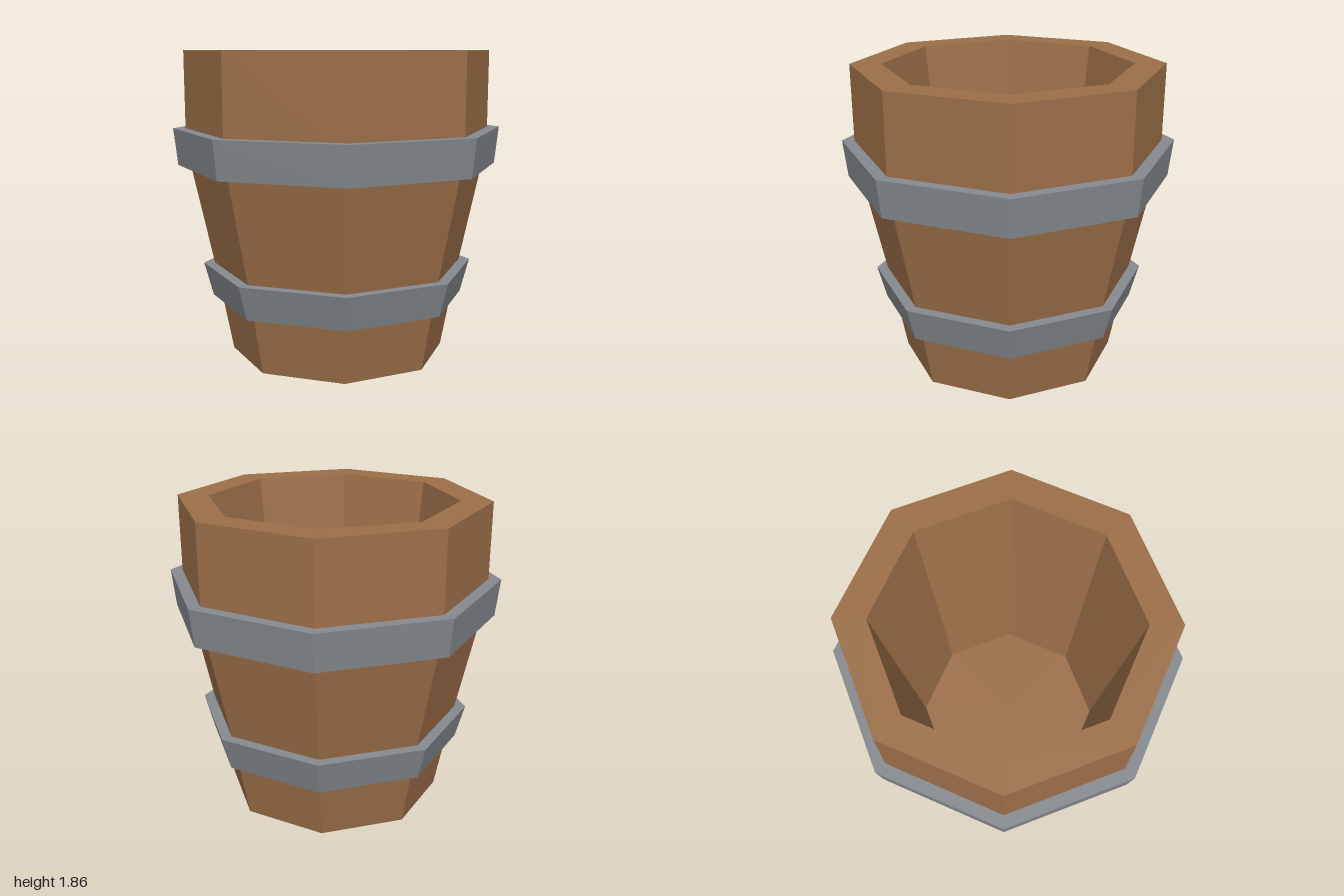
import * as THREE from 'three';

const SIDES = 8;

// Octagonal solid of revolution from [radius, height] pairs
function turned(name, profile, color) {
  const points = profile.map(([r, y]) => new THREE.Vector2(r, y));
  const material = new THREE.MeshStandardMaterial({ color, flatShading: true });
  const mesh = new THREE.Mesh(new THREE.LatheGeometry(points, SIDES), material);
  mesh.name = name;
  return mesh;
}

// Flared metal hoop, its inner edge sunk slightly into the wood
function hoop(name, y0, y1, r0, r1, thickness) {
  return turned(name, [
    [r0 - thickness, y0], [r0, y0], [r1, y1], [r1 - thickness, y1], [r0 - thickness, y0],
  ], 0x85898d);
}

export function createModel() {
  const group = new THREE.Group();
  group.name = 'bucket';

  // Wooden body: underside, outer wall, rim, inner wall and floor
  group.add(turned('woodenBody', [
    [0, 0], [0.66, 0], [0.745, 0.45], [0.925, 1.29], [0.925, 1.86],
    [0.74, 1.86], [0.555, 0.4], [0, 0.4],
  ], 0x9c6f48));

  // Metal hoops
  group.add(hoop('lowerHoop', 0.35, 0.555, 0.78, 0.835, 0.09));
  group.add(hoop('upperHoop', 1.17, 1.395, 0.975, 1.0, 0.1));

  return group;
}
